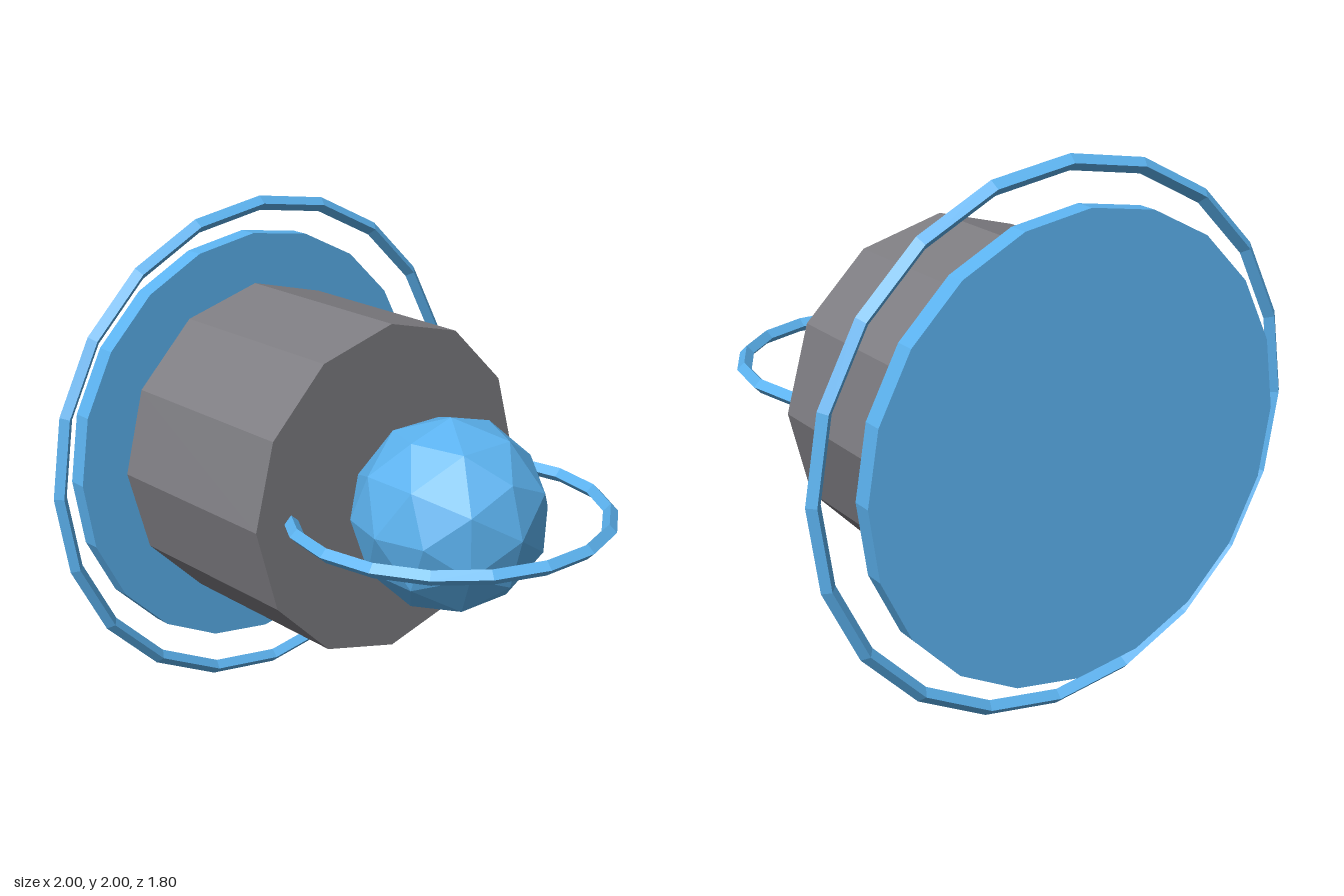
import * as THREE from 'three';

const blue = new THREE.MeshStandardMaterial({ color: 0x5cb3f0, flatShading: true });
const grey = new THREE.MeshStandardMaterial({ color: 0x7e7d82, flatShading: true });

export function createModel() {
  const model = new THREE.Group();
  const add = (name, geometry, material, z) => {
    const mesh = new THREE.Mesh(geometry, material);
    mesh.name = name;
    mesh.position.set(0, 1, z);
    model.add(mesh);
  };
  // Cylinder lying along z
  const drum = (radius, depth, sides) =>
    new THREE.CylinderGeometry(radius, radius, depth, sides).rotateX(Math.PI / 2);
  // Thin ring with a diamond section
  const ring = (radius, sides) => new THREE.TorusGeometry(radius, 0.028, 4, sides);

  // Twelve-sided body, reaching back to the plate
  add('body', drum(0.645, 0.815, 12), grey, -0.4275);

  // Rear plate and the upright ring in front of it
  add('backPlate', drum(0.845, 0.075, 20), blue, -0.865);
  add('backRing', ring(0.972, 20), blue, -0.782);

  // Faceted ball with a level ring that runs into the body
  add('frontBall', new THREE.IcosahedronGeometry(0.367, 1), blue, 0.295);
  add('frontRing', ring(0.587, 18).rotateX(Math.PI / 2), blue, 0.295);

  return model;
}
